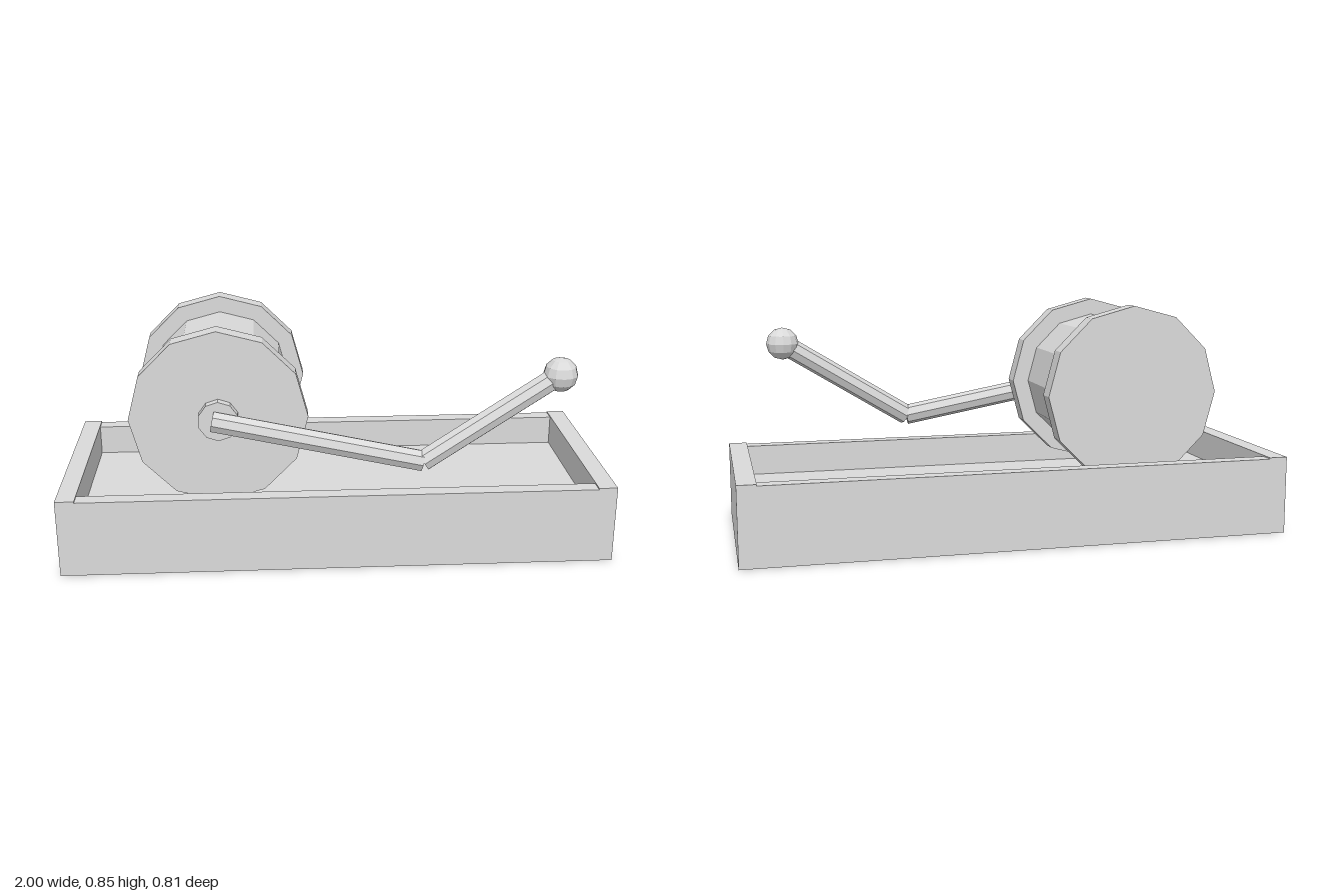
import * as THREE from 'three';

export function createModel() {
  const model = new THREE.Group();
  const grey = new THREE.MeshStandardMaterial({ color: 0xdadada });
  grey.name = 'plainGrey';

  const add = (name, geometry, parent) => {
    const flat = geometry.index ? geometry.toNonIndexed() : geometry;
    flat.computeVertexNormals();
    const mesh = new THREE.Mesh(flat, grey);
    mesh.name = name;
    parent.add(mesh);
    return mesh;
  };

  // Open tray: a rectangular frame around a sunken floor
  const tray = new THREE.Group();
  tray.name = 'tray';
  model.add(tray);
  const rect = (Type, x, z) => new Type([[-x, -z], [x, -z], [x, z], [-x, z]].map(p => new THREE.Vector2(...p)));
  const frame = rect(THREE.Shape, 1, 0.404);
  frame.holes.push(rect(THREE.Path, 0.932, 0.346));
  add('trayWalls', new THREE.ExtrudeGeometry(frame, { depth: 0.283, bevelEnabled: false })
    .rotateX(-Math.PI / 2), tray);
  add('trayFloor', new THREE.BoxGeometry(1.864, 0.17, 0.692).translate(0, 0.085, 0), tray);
  for (const side of [-1, 1]) {
    add('endWallLip', new THREE.BoxGeometry(0.068, 0.005, 0.808).translate(side * 0.966, 0.2855, 0), tray);
  }

  // Spool lying along z, with a flange at each end and a hub in front
  const spool = new THREE.Group();
  spool.name = 'spool';
  spool.position.set(-0.4245, 0.53, 0);
  model.add(spool);
  const disc = (name, radius, back, front, sides = 12) =>
    add(name, new THREE.CylinderGeometry(radius, radius, front - back, sides)
      .rotateX(Math.PI / 2).translate(0, 0, (front + back) / 2), spool);
  disc('drum', 0.26, -0.24, 0.179);
  disc('backFlange', 0.321, -0.31, -0.24);
  disc('frontFlange', 0.321, 0.179, 0.25);
  disc('hub', 0.073, 0.25, 0.285, 10);

  // Bent crank with a ball knob
  const crank = new THREE.Group();
  crank.name = 'crank';
  model.add(crank);
  const start = new THREE.Vector3(-0.446, 0.532, 0.287);
  const elbow = new THREE.Vector3(0.301, 0.386, 0.342);
  const end = new THREE.Vector3(0.788, 0.688, 0.303);
  const rod = (name, a, b) => {
    const along = b.clone().sub(a);
    const mesh = add(name, new THREE.CylinderGeometry(0.039, 0.039, along.length(), 8), crank);
    mesh.position.copy(a).add(b).multiplyScalar(0.5);
    mesh.quaternion.setFromUnitVectors(new THREE.Vector3(0, 1, 0), along.normalize());
  };
  rod('crankArm', start, elbow);
  rod('crankHandle', elbow, end);
  add('knob', new THREE.SphereGeometry(0.062, 12, 6), crank).position.copy(end);

  return model;
}
